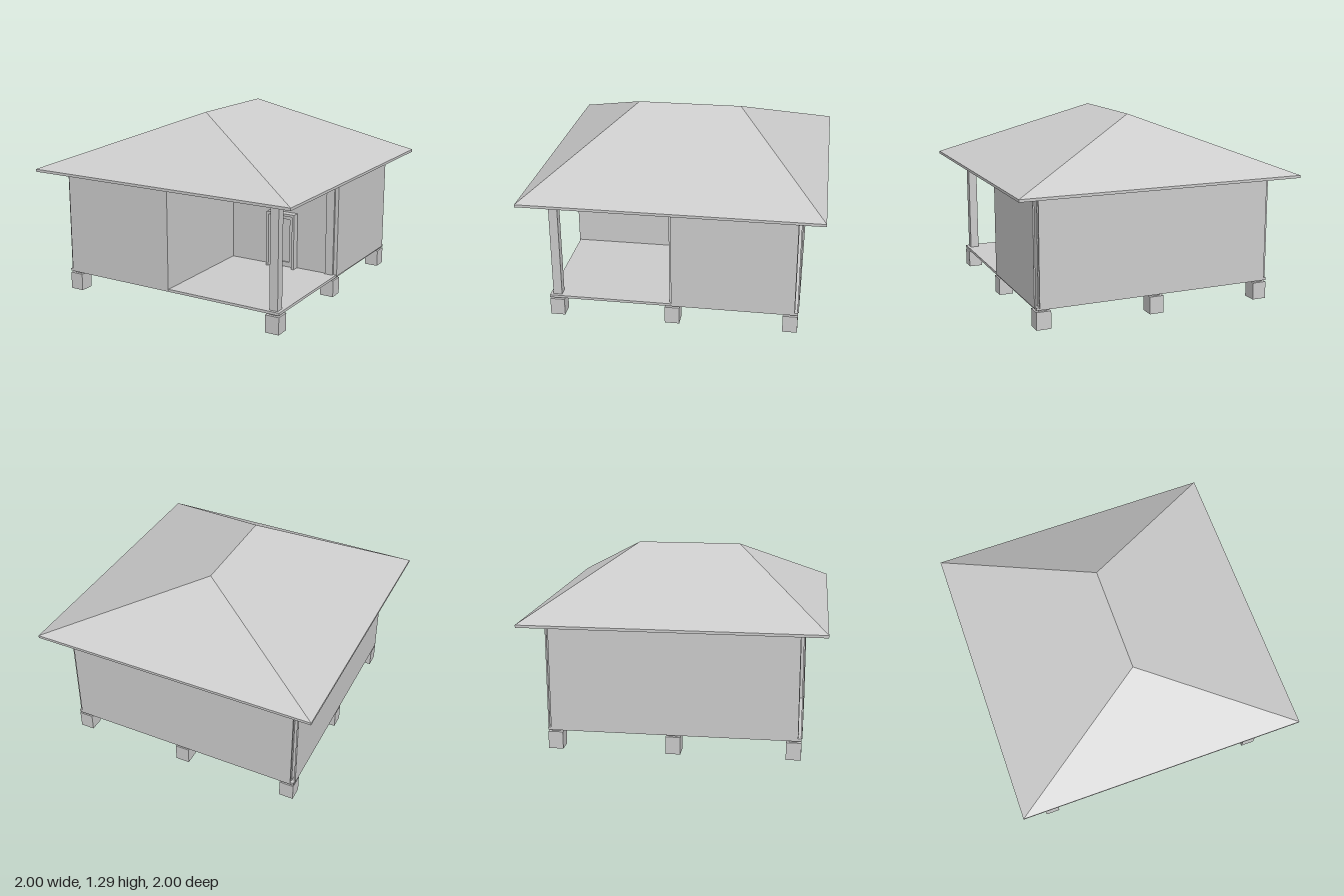
import * as THREE from 'three';

const material = new THREE.MeshStandardMaterial({ color: 0xcccccc, flatShading: true, side: THREE.DoubleSide });

export function createModel() {
  const house = new THREE.Group();
  house.name = 'house';

  // box given by its limits on each axis
  function box(name, x0, x1, y0, y1, z0, z1) {
    const mesh = new THREE.Mesh(new THREE.BoxGeometry(x1 - x0, y1 - y0, z1 - z0), material);
    mesh.position.set((x0 + x1) / 2, (y0 + y1) / 2, (z0 + z1) / 2);
    mesh.name = name;
    house.add(mesh);
    return mesh;
  }

  // foundation piers with small caps
  const piers = [[-0.8, -0.8], [0, -0.8], [0.8, -0.8], [-0.8, 0], [0.8, 0], [-0.8, 0.8], [0.8, 0.8]];
  for (const [x, z] of piers) {
    box('pier', x - 0.05, x + 0.05, 0, 0.12, z - 0.05, z + 0.05);
    box('pierCap', x - 0.03, x + 0.03, 0.12, 0.132, z - 0.03, z + 0.03);
  }

  box('floor', -0.85, 0.85, 0.132, 0.15, -0.85, 0.85);

  // corner posts
  for (const x of [-0.8, 0.8]) {
    for (const z of [-0.8, 0.8]) box('cornerPost', x - 0.03, x + 0.03, 0.15, 0.87, z - 0.03, z + 0.03);
  }
  box('porchWallPost', 0.77, 0.83, 0.15, 0.87, -0.04, 0.02);

  // thin wall panels, leaving the porch open at the front
  const low = 0.142, top = 0.88;
  box('frontWall', -0.828, 0.005, low, top, 0.845, 0.855);
  box('backWall', -0.828, 0.828, low, top, -0.855, -0.845);
  box('rightWall', -0.855, -0.845, low, top, -0.828, 0.828);
  box('leftWall', 0.845, 0.855, low, top, -0.828, 0.005);
  box('porchSideWall', -0.005, 0.005, 0.15, top, 0, 0.845);
  box('porchBackWall', 0, 0.845, 0.15, top, -0.005, 0.005);

  // door frame, leaf with raised border, and handle
  box('doorJamb', 0.318, 0.335, 0.15, 0.555, 0, 0.06);
  box('doorJamb', 0.523, 0.54, 0.15, 0.555, 0, 0.06);
  box('doorLintel', 0.335, 0.523, 0.538, 0.555, 0, 0.06);
  const leaf = new THREE.Shape([[0.335, 0.152], [0.523, 0.152], [0.523, 0.538], [0.335, 0.538]]
    .map(p => new THREE.Vector2(...p)));
  leaf.holes.push(new THREE.Path([[0.37, 0.187], [0.37, 0.507], [0.488, 0.507], [0.488, 0.187]]
    .map(p => new THREE.Vector2(...p))));
  const door = new THREE.Mesh(new THREE.ExtrudeGeometry(leaf, { depth: 0.015, bevelEnabled: false }), material);
  door.position.z = 0.01;
  door.name = 'door';
  house.add(door);
  box('doorPanel', 0.37, 0.488, 0.187, 0.507, 0.008, 0.015);
  box('doorHandle', 0.358, 0.378, 0.355, 0.362, 0.025, 0.038);

  // hipped roof: rectangular rings from the ceiling, down the soffit, up the fascia to the ridge
  const rise = 0.06;
  const rings = [
    [0, 0, 0.875 + rise],
    [1 - rise / 0.4, 1 - rise * 0.64 / 0.4, 0.875 + rise],
    [1, 1, 0.875],
    [1, 1, 0.893],
    [0, 0.363, 1.29],
  ].map(([x, z, y]) => [[x, y, z], [x, y, -z], [-x, y, -z], [-x, y, z]]);
  const points = [];
  for (let r = 0; r < rings.length - 1; r++) {
    for (let i = 0; i < 4; i++) {
      const j = (i + 1) % 4;
      const [a, b, c, d] = [rings[r][i], rings[r][j], rings[r + 1][j], rings[r + 1][i]];
      const same = (p, q) => p.every((v, k) => Math.abs(v - q[k]) < 1e-9);
      if (!same(a, b)) points.push(...a, ...b, ...c);
      if (!same(c, d)) points.push(...a, ...c, ...d);
    }
  }
  const roofGeometry = new THREE.BufferGeometry();
  roofGeometry.setAttribute('position', new THREE.Float32BufferAttribute(points, 3));
  roofGeometry.computeVertexNormals();
  const roof = new THREE.Mesh(roofGeometry, material);
  roof.name = 'roof';
  house.add(roof);

  return house;
}
